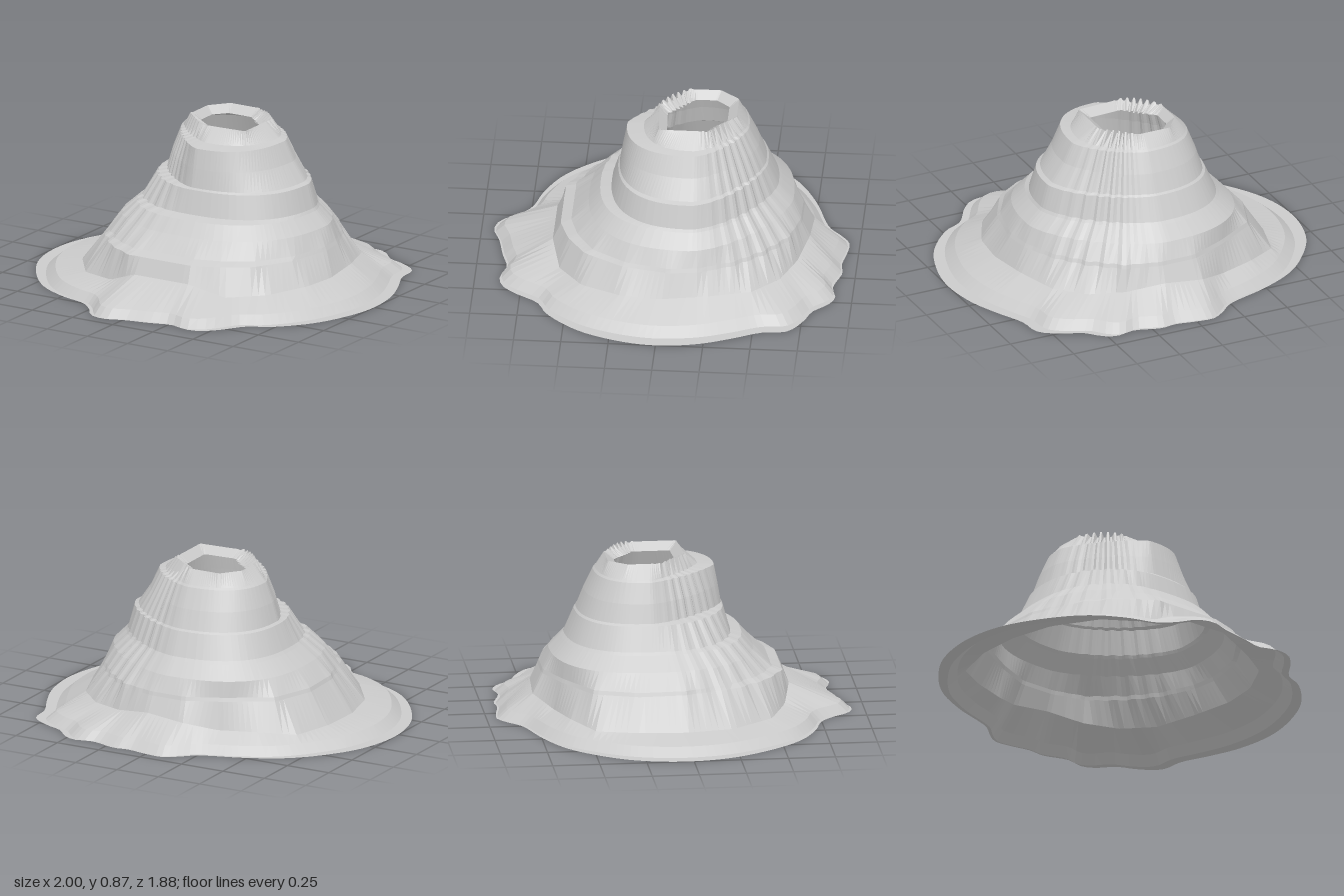
import * as THREE from 'three';

const CX = 0.03, CZ = -0.15;   // crater axis
const SEGMENTS = 144;

const toPoints = (list, y = 0) => list.map(([x, z, h]) => new THREE.Vector3(x, h ?? y, z));
const smooth = (points) => new THREE.CatmullRomCurve3(points, true, 'centripetal').getPoints(240);
const scaled = (points, sx, y, sz) => points.map((p) => new THREE.Vector3(p.x * sx, y, p.z * sz));

// Rounded contour from its four extents about the crater axis; the front-right (-x, +z)
// and back-left (+x, -z) corners are cut back by their own lower powers
function contour(left, right, front, back, y, frontCut, backCut) {
  const points = [];
  for (let i = 0; i <= 64; i++) {
    const a = (i / 64) * Math.PI * 2, c = Math.cos(a), s = Math.sin(a);
    const rx = c > 0 ? right - CX : CX - left;
    const rz = s > 0 ? front - CZ : CZ - back;
    const power = c * s > 0 ? 2.5 : s > 0 ? frontCut : backCut;
    points.push(new THREE.Vector3(
      CX + rx * Math.sign(c) * Math.abs(c) ** (2 / power), y,
      CZ + rz * Math.sign(s) * Math.abs(s) ** (2 / power)));
  }
  return points;
}

// Resample a contour where evenly spaced rays from the axis cross it
function resample(points) {
  const ring = [];
  for (let j = 0; j < SEGMENTS; j++) {
    const a = ((j + 0.37) / SEGMENTS) * Math.PI * 2, dx = Math.cos(a), dz = Math.sin(a);
    const side = (p) => dx * (p.z - CZ) - dz * (p.x - CX);
    for (let i = 0; i < points.length; i++) {
      const p = points[i], q = points[(i + 1) % points.length];
      const sp = side(p), sq = side(q);
      if (sp > 0 || sq <= 0) continue;
      const hit = p.clone().lerp(q, sp / (sp - sq));
      if (dx * (hit.x - CX) + dz * (hit.z - CZ) > 0) { ring.push(hit); break; }
    }
  }
  return ring;
}

// Skin consecutive rings, running from the outside inwards
function loft(rings) {
  const positions = [], index = [];
  rings.forEach((ring) => ring.forEach((p) => positions.push(p.x, p.y, p.z)));
  for (let i = 0; i < rings.length - 1; i++) {
    for (let j = 0; j < SEGMENTS; j++) {
      const k = (j + 1) % SEGMENTS;
      const a = i * SEGMENTS + j, b = i * SEGMENTS + k, c = a + SEGMENTS, d = b + SEGMENTS;
      index.push(a, c, b, b, c, d);
    }
  }
  const geometry = new THREE.BufferGeometry();
  geometry.setAttribute('position', new THREE.Float32BufferAttribute(positions, 3));
  geometry.setIndex(index);
  geometry.computeVertexNormals();
  return geometry;
}

// Stair-like ribs on the two cut-back corners
function rib(ring, amount, lift = 0) {
  return ring.map((p, j) => {
    const a = Math.atan2(p.z - CZ, p.x - CX);
    const w = Math.max(0, -Math.sin(2 * a)) ** 2 * (Math.floor(j / 2) % 2 ? 1 : -1);
    return new THREE.Vector3(
      p.x + Math.cos(a) * w * amount, p.y + w * lift, p.z + Math.sin(a) * w * amount);
  });
}

export function createModel() {
  const group = new THREE.Group();
  const material = new THREE.MeshStandardMaterial({
    color: 0xcccccc, flatShading: true, side: THREE.DoubleSide });

  // Ground outline with its wavy lobes at front and back
  const outline = smooth(toPoints([
    [1, 0], [0.97, 0.2], [0.88, 0.42], [0.72, 0.6], [0.62, 0.65], [0.53, 0.78], [0.46, 0.85],
    [0.37, 0.87], [0.27, 0.84], [0.15, 0.87], [0, 0.9], [-0.1, 0.935], [-0.19, 0.91],
    [-0.26, 0.82], [-0.34, 0.75], [-0.5, 0.7], [-0.68, 0.6], [-0.84, 0.42], [-0.96, 0.2],
    [-1, -0.05], [-0.95, -0.3], [-0.85, -0.47], [-0.7, -0.63], [-0.5, -0.74], [-0.25, -0.83],
    [-0.17, -0.9], [-0.1, -0.945], [0, -0.94], [0.12, -0.92], [0.2, -0.93], [0.35, -0.89],
    [0.45, -0.91], [0.52, -0.88], [0.6, -0.8], [0.7, -0.76], [0.81, -0.68], [0.83, -0.55],
    [0.9, -0.4], [0.97, -0.22]]));
  const brimInner = scaled(outline, 0.93, 0, 0.99);
  const skirt = scaled(outline, 0.875, 0.045, 0.94);

  // Foot of the cone, raised at front and back
  const foot = toPoints([
    [0.73, 0, 0.12], [0.71, 0.2, 0.12], [0.6, 0.42, 0.11], [0.42, 0.55, 0.1], [0.22, 0.6, 0.155],
    [-0.12, 0.6, 0.155], [-0.29, 0.56, 0.09], [-0.5, 0.47, 0.075], [-0.66, 0.25, 0.07],
    [-0.72, 0, 0.075], [-0.72, -0.25, 0.08], [-0.66, -0.48, 0.08], [-0.48, -0.6, 0.1],
    [-0.28, -0.67, 0.1], [-0.12, -0.76, 0.14], [0.1, -0.75, 0.16], [0.3, -0.7, 0.13],
    [0.48, -0.62, 0.12], [0.62, -0.48, 0.12], [0.7, -0.25, 0.13]]);

  // Lower terrace, widest at the front
  const terrace = toPoints([
    [0.67, -0.05], [0.62, 0.2], [0.5, 0.41], [0.35, 0.51], [0.2, 0.56], [-0.18, 0.56],
    [-0.35, 0.46], [-0.5, 0.28], [-0.6, 0], [-0.61, -0.25], [-0.53, -0.48], [-0.3, -0.62],
    [-0.1, -0.71], [0.1, -0.71], [0.29, -0.66], [0.45, -0.53], [0.57, -0.38], [0.65, -0.2]], 0.245);
  const terraceInner = terrace.map((p) => new THREE.Vector3(
    p.x * 0.985, 0.265, p.z > 0 ? p.z * 0.9 : p.z * 0.99));

  // Crater rim and the lip inside it
  const rim = toPoints([
    [0.22, 0.04], [-0.04, 0.055], [-0.2, -0.09], [-0.2, -0.26], [-0.12, -0.36],
    [0.06, -0.36], [0.22, -0.22]], 0.855);
  const lip = toPoints([
    [0.17, 0], [-0.01, 0.01], [-0.16, -0.13], [-0.16, -0.24], [-0.1, -0.31],
    [0.04, -0.31], [0.17, -0.2]], 0.815);

  // Cone contours; the cut at the front right deepens above y 0.57 into a small ledge
  const base = [outline, brimInner, skirt, foot].map(resample);
  const cone = [
    terrace, terraceInner,
    contour(-0.52, 0.61, 0.42, -0.66, 0.35, 2.4, 1.55),
    contour(-0.44, 0.54, 0.36, -0.595, 0.42, 2.4, 1.5),
    contour(-0.425, 0.53, 0.3, -0.58, 0.435, 2.4, 1.5),
    contour(-0.37, 0.495, 0.265, -0.525, 0.56, 1.9, 1.5),
    contour(-0.355, 0.47, 0.257, -0.515, 0.57, 1.4, 1.5),
    contour(-0.325, 0.4, 0.24, -0.475, 0.67, 1.35, 1.5),
    contour(-0.285, 0.35, 0.22, -0.425, 0.775, 1.25, 1.45),
    contour(-0.275, 0.31, 0.13, -0.415, 0.785, 1.25, 1.45),
  ].map((points) => rib(resample(points), 0.006));
  const crater = [rib(resample(rim), 0.01, 0.012), rib(resample(lip), 0.01)];

  // One continuous shell, split into named parts that share their border rings
  const parts = {
    groundSkirt: base,
    mountainCone: [base.at(-1), ...cone],
    craterRim: [cone.at(-1), ...crater],
  };
  for (const [name, rings] of Object.entries(parts)) {
    const mesh = new THREE.Mesh(loft(rings), material);
    mesh.name = name;
    group.add(mesh);
  }
  return group;
}
